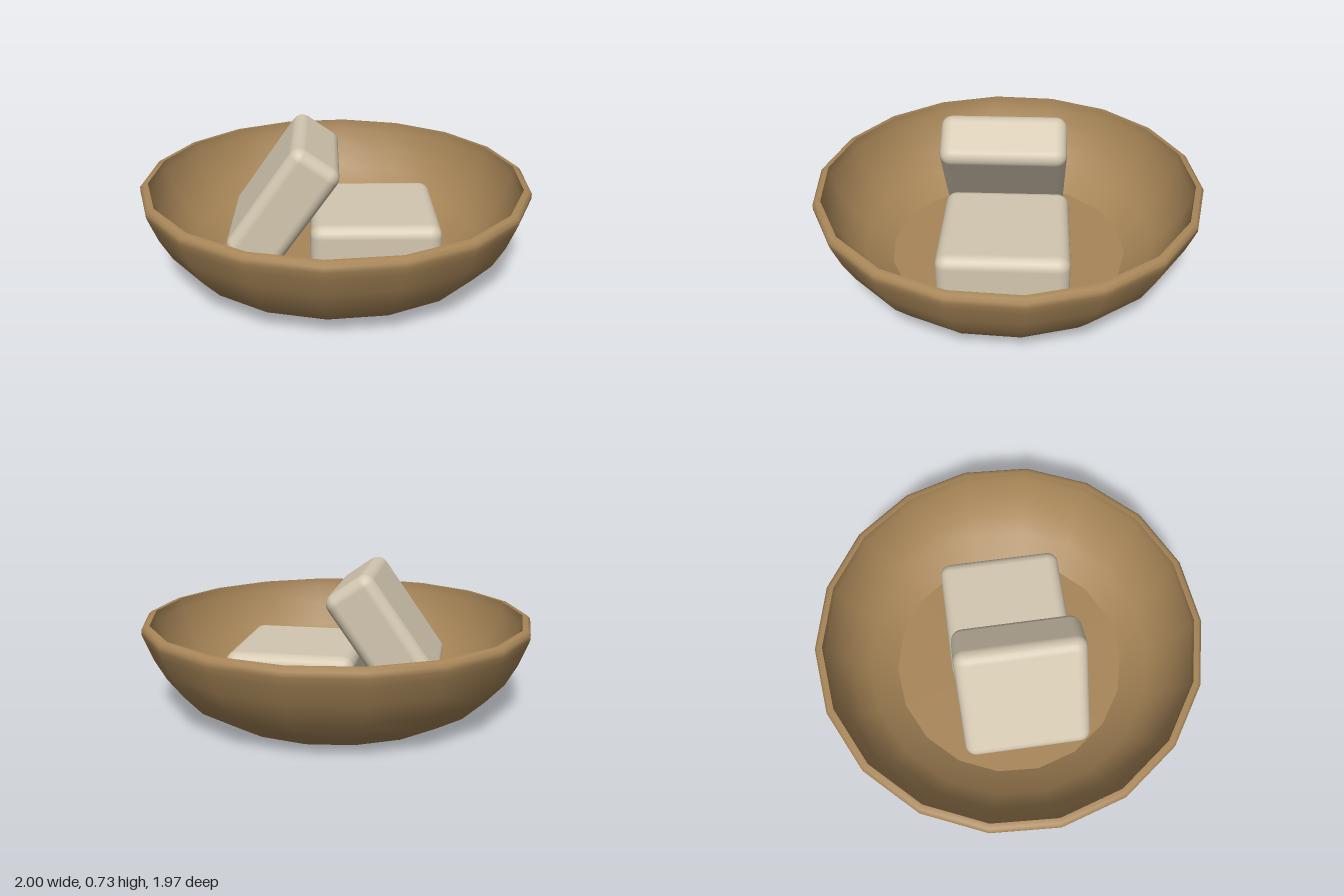
import * as THREE from 'three';
import { RoundedBoxGeometry } from 'three/addons/geometries/RoundedBoxGeometry.js';

const SIDES = 18;
const YAW = 0.235; // both blocks share this turn about y

export function createModel() {
  const model = new THREE.Group();
  const wood = new THREE.MeshStandardMaterial({ color: 0xa88658 });
  wood.name = 'brown wood';
  const stone = new THREE.MeshStandardMaterial({ color: 0xd3c7b0 });
  stone.name = 'pale cream';

  // Bowl: separate lathes keep the base, rim and floor edges sharp
  const bowl = new THREE.Group();
  bowl.name = 'bowl';
  model.add(bowl);
  const lathe = (name, profile) => {
    const points = profile.map(([r, y]) => new THREE.Vector2(r, y));
    const mesh = new THREE.Mesh(new THREE.LatheGeometry(points, SIDES, Math.PI / 2), wood);
    mesh.name = name;
    bowl.add(mesh);
  };
  lathe('bowlBase', [[0, 0], [0.65, 0]]);
  lathe('bowlOuterWall', [
    [0.65, 0], [0.8, 0.09], [0.89, 0.19], [0.95, 0.3], [0.985, 0.39],
    [1, 0.43], [1, 0.455], [0.985, 0.47], [0.96, 0.472],
  ]);
  lathe('bowlInnerWall', [
    [0.96, 0.472], [0.955, 0.42], [0.915, 0.31], [0.855, 0.21], [0.77, 0.12], [0.63, 0.035],
  ]);
  lathe('bowlFloor', [[0.63, 0.035], [0, 0.035]]);

  // Blocks: placed by distance across (p) and along (q) their shared turned axes
  const blockShape = new RoundedBoxGeometry(0.66, 0.28, 0.66, 3, 0.06);
  const addBlock = (name, p, y, q, tilt) => {
    const block = new THREE.Mesh(blockShape, stone);
    block.name = name;
    const c = Math.cos(YAW), s = Math.sin(YAW);
    block.position.set(p * c + q * s, y, q * c - p * s);
    block.rotation.set(0, YAW, tilt);
    model.add(block);
  };
  addBlock('flatBlock', 0.2, 0.175, 0.01, 0);
  addBlock('leaningBlock', -0.265, 0.398, 0.03, THREE.MathUtils.degToRad(55));

  return model;
}
